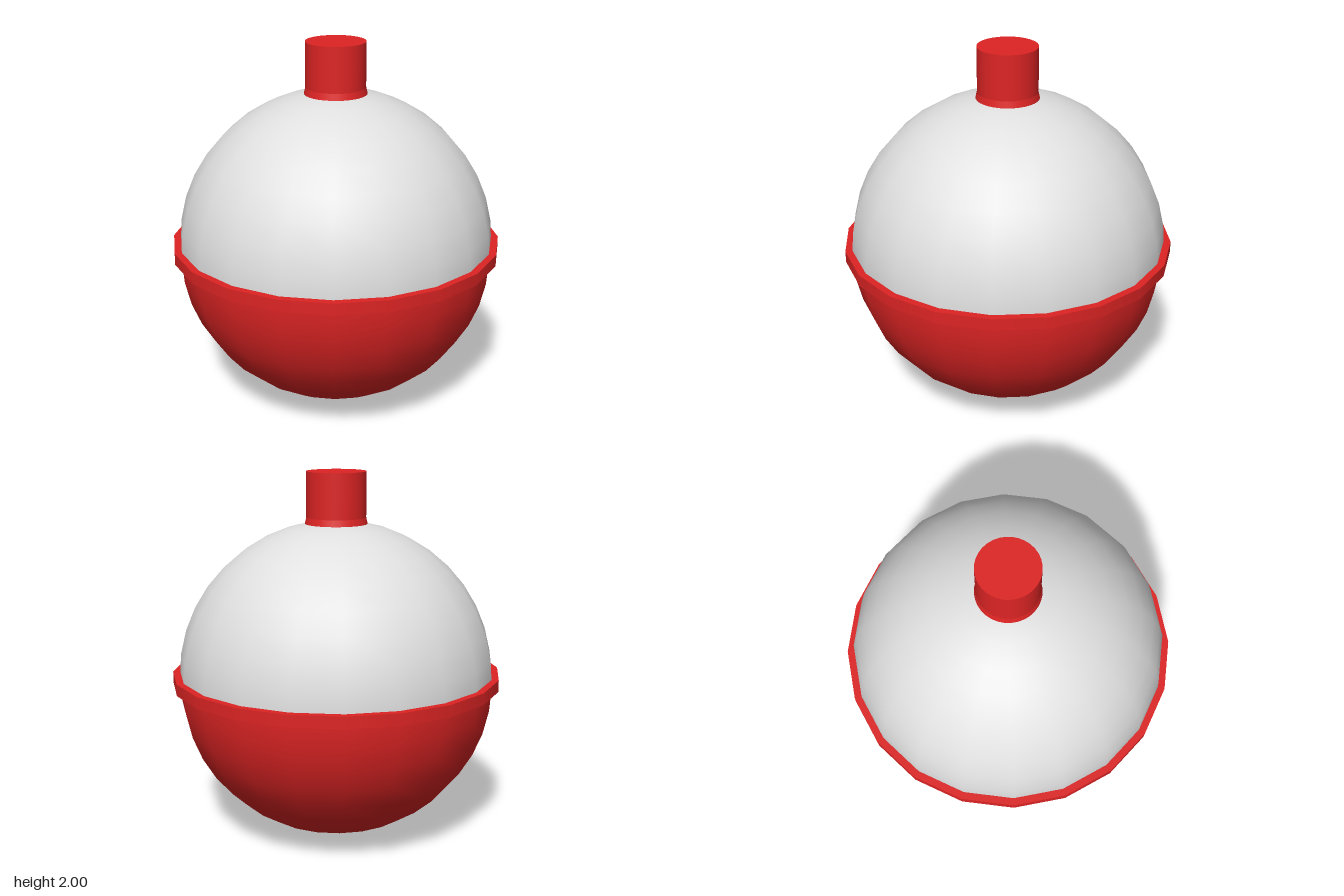
import * as THREE from 'three';

export function createModel() {
  const red = new THREE.MeshStandardMaterial({ color: 0xde2424 });
  red.name = 'red';
  const white = new THREE.MeshStandardMaterial({ color: 0xe0e0e0 });
  white.name = 'white';

  const model = new THREE.Group();
  model.name = 'fishingFloat';
  const add = (name, geometry, material, y) => {
    const mesh = new THREE.Mesh(geometry, material);
    mesh.name = name;
    mesh.position.y = y;
    model.add(mesh);
  };

  const sides = 20, radius = 0.867, middle = 0.87;

  // Two half shells meeting inside the rim
  const half = (start) => new THREE.SphereGeometry(
    radius, sides, 10, 0, Math.PI * 2, start, Math.PI / 2);
  add('upperShell', half(0), white, middle);
  add('lowerShell', half(Math.PI / 2), red, middle - 0.003);

  // Flat twenty-sided rim around the seam
  add('rim', new THREE.CylinderGeometry(0.903, 0.903, 0.064, sides), red, 0.874);

  // Push button with a slightly flared foot
  add('button', new THREE.CylinderGeometry(0.162, 0.162, 0.3, 32), red, 1.85);
  add('buttonFoot', new THREE.CylinderGeometry(0.162, 0.17, 0.035, 32), red, 1.7375);

  return model;
}
